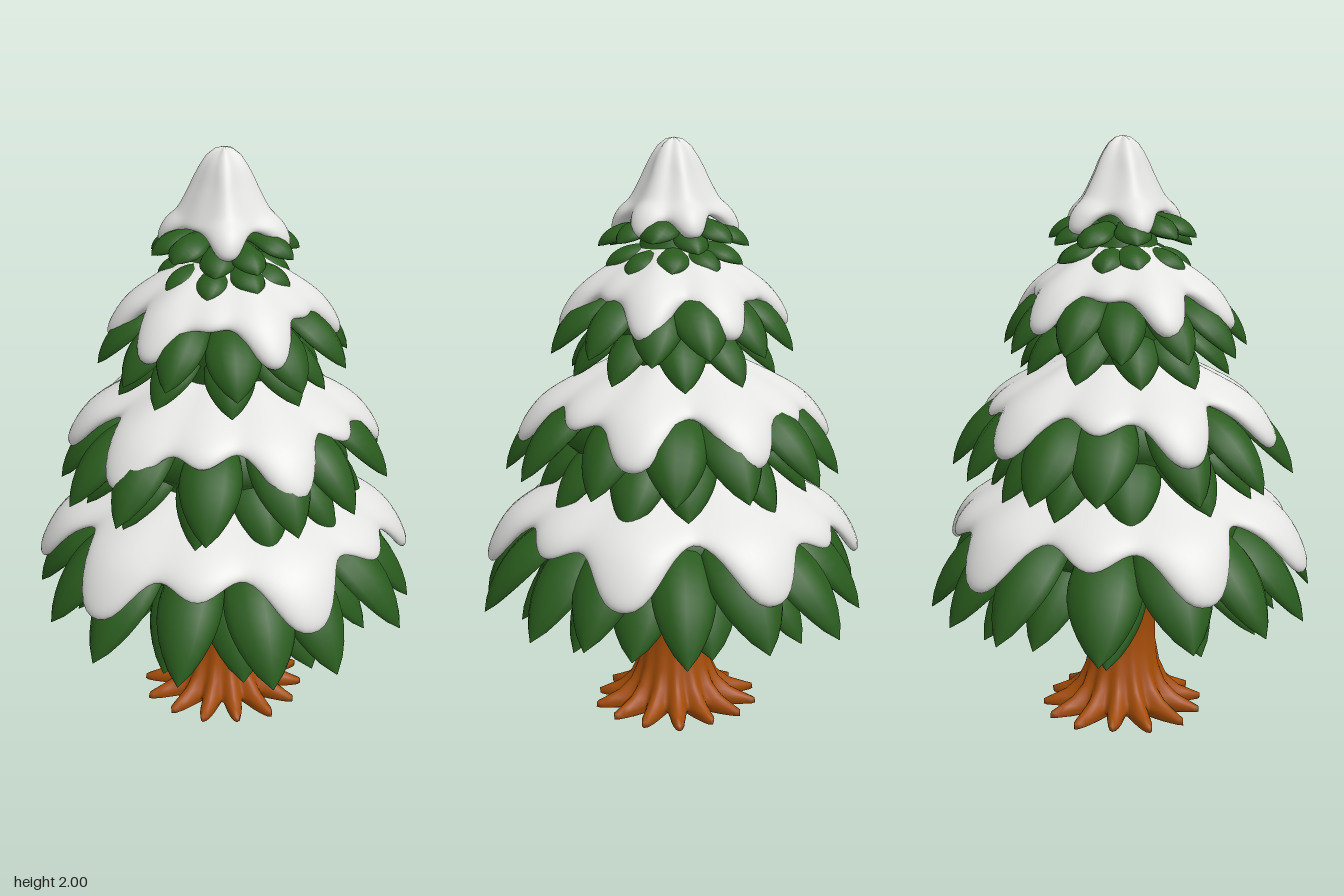
import * as THREE from 'three';
import { mergeGeometries } from 'three/addons/utils/BufferGeometryUtils.js';

const mat = (name, color) => {
  const m = new THREE.MeshStandardMaterial({ color, side: THREE.DoubleSide });
  m.name = name;
  return m;
};
const wobble = (n) => { const s = Math.sin(n * 12.9898) * 43758.5453; return (s - Math.floor(s)) * 2 - 1; };
const V2 = (a) => new THREE.Vector2(a[0], a[1]);

// Smooth skin over fn(u, v) -> [x, y, z]; v wraps round
function skin(nu, nv, fn) {
  const pos = [], idx = [];
  for (let i = 0; i <= nu; i++) for (let j = 0; j < nv; j++) pos.push(...fn(i / nu, j / nv));
  for (let i = 0; i < nu; i++) for (let j = 0; j < nv; j++) {
    const k = (j + 1) % nv, a = i * nv + j, b = i * nv + k, c = a + nv, d = b + nv;
    idx.push(a, b, c, b, d, c);
  }
  const g = new THREE.BufferGeometry();
  g.setAttribute('position', new THREE.Float32BufferAttribute(pos, 3));
  g.setIndex(idx);
  g.computeVertexNormals();
  return g;
}

// Plump pointed leaf that follows a drooping curve given as (radius, height)
function leaf(path, width, thick) {
  const curve = new THREE.QuadraticBezierCurve(...path.map(V2));
  return skin(12, 12, (u, v) => {
    const t = u * 0.999, p = curve.getPoint(t), d = curve.getTangent(t), a = v * Math.PI * 2;
    const w = Math.pow(Math.sin(Math.PI * (0.2 + 0.8 * Math.pow(t, 1.35))), 0.75);
    const side = -Math.cos(a) * w * width / 2;
    const up = Math.sin(a) * w * thick / 2 - 0.16 * width * w * Math.cos(a) ** 2;
    return [p.x - d.y * up, p.y + d.x * up, side];
  });
}

// Ring of slightly uneven leaves whose tips reach radius r at height y
function leafRing(r, y, size, lift, count, start, seed) {
  const width = 0.05 + 0.55 * size, rise = size * lift, parts = [];
  for (let i = 0; i < count; i++) {
    const R = r * (1 + 0.03 * wobble(seed + i * 3.1)), Y = y + 0.02 * wobble(seed + i * 7.7);
    const path = [[r - 1.05 * size, Y + 0.97 * rise], [R - 0.36 * size, Y + 0.82 * rise], [R, Y]];
    const g = leaf(path, width * (1 + 0.1 * wobble(seed + i)), width * 0.34);
    g.rotateY(-(start + (i + 0.16 * wobble(seed + i * 5.3)) * 360 / count) * Math.PI / 180);
    parts.push(g);
  }
  return mergeGeometries(parts);
}

// Snow blanket: a sloping profile whose reach varies with the drips around it
function snowCap(profile, drips, minor, spread, low) {
  const curve = new THREE.SplineCurve(profile.map(V2));
  const thick = 0.041;
  // small drips hang in the wider gaps
  const lobes = [...drips.map((a) => [a, 1]), ...[76, 147, 260, 328].map((a) => [a, minor])];
  return skin(30, 160, (u, v) => {
    let gap = 1;
    for (const [a, s] of lobes) {
      const d = ((v * 360 - a + 540) % 360) - 180;
      gap *= 1 - s * Math.exp(-((d / spread) ** 2));
    }
    const f = 1 - gap, reach = low + (1 - low) * f;
    // top face, rounded rim, then a short underside
    const over = u < 0.75;
    const t = over ? Math.sin((u / 0.75) * Math.PI / 2) : 1 - (1 - Math.cos(((u - 0.75) / 0.25) * Math.PI / 2)) * 0.3;
    const puff = Math.sqrt(Math.max(0, 1 - t ** 7)), blend = Math.min(1, t * 3);
    const off = thick * (over ? puff * (1 - blend * 0.4 * (1 - f)) : -puff * 0.6);
    const p = curve.getPoint(t * reach), d = curve.getTangent(t * reach);
    const r = Math.max(0, p.x - d.y * off * blend), y = p.y + (1 + (d.x - 1) * blend) * off;
    const a = v * Math.PI * 2;
    return [r * Math.cos(a), y, r * Math.sin(a)];
  });
}

// Leaf tips at radius r and height y; the inner ring reaches inner * r and hangs lower by drop
const DRIPS = [0, 44, 112, 179, 226, 297];
const TIERS = [
  { name: 'bottom', r: 0.67, y: 0.4, size: 0.33, lift: 1, inner: 0.8, drop: 0.05, counts: [14, 12],
    drips: DRIPS, minor: 0.55, spread: 15, low: 0.48, snow: [[0.15, 0.91], [0.35, 0.82], [0.54, 0.715], [0.645, 0.56]] },
  { name: 'lowerMiddle', r: 0.58, y: 0.88, size: 0.28, lift: 0.95, inner: 0.82, drop: 0.09, counts: [13, 11],
    drips: DRIPS, minor: 0.5, spread: 15, low: 0.48, snow: [[0.12, 1.26], [0.26, 1.2], [0.43, 1.105], [0.53, 0.98]] },
  { name: 'upperMiddle', r: 0.42, y: 1.3, size: 0.22, lift: 0.9, inner: 0.86, drop: 0.09, counts: [12, 10],
    drips: DRIPS, minor: 0.3, spread: 16, low: 0.5, snow: [[0.1, 1.61], [0.19, 1.555], [0.3, 1.475], [0.38, 1.37]] },
  { name: 'top', r: 0.25, y: 1.65, size: 0.14, lift: 0.5, inner: 0.92, drop: 0.075, counts: [11, 9],
    drips: [12, 62, 135, 233, 300], minor: 0, spread: 20, low: 0.7,
    snow: [[0, 1.96], [0.035, 1.945], [0.075, 1.86], [0.12, 1.78], [0.17, 1.735], [0.205, 1.68]] },
];

// Trunk and foliage core outlines, top to bottom, as radius and height
const TRUNK = [[0.17, 0.56], [0.16, 0.5], [0.13, 0.42], [0.115, 0.33], [0.117, 0.24], [0.132, 0.16], [0.16, 0.1],
  [0.205, 0.06], [0.25, 0.04], [0.285, 0.025], [0.285, 0.006], [0.24, 0], [0.12, 0.008], [0, 0.02]];
const CORE = [[0.02, 1.86], [0.11, 1.68], [0.14, 1.55], [0.24, 1.46], [0.26, 1.38], [0.2, 1.26], [0.22, 1.18],
  [0.36, 1.07], [0.38, 0.98], [0.27, 0.88], [0.42, 0.72], [0.43, 0.62], [0.3, 0.54], [0.1, 0.52]];

export function createModel() {
  const tree = new THREE.Group();
  tree.name = 'snowyTree';
  const bark = mat('bark', 0xa34c08), green = mat('needles', 0x295b1d), white = mat('snow', 0xe4e4e2);
  const add = (geo, material, name, parent = tree) => {
    const m = new THREE.Mesh(geo, material);
    m.name = name;
    parent.add(m);
  };

  // Trunk flaring into fourteen finger-like roots that deepen toward the ground
  add(skin(TRUNK.length - 1, 168, (u, v) => {
    const [r, y] = TRUNK[Math.round(u * (TRUNK.length - 1))];
    const a = v * Math.PI * 2, n = Math.floor(v * 14 + 0.5) % 14;
    const depth = 0.55 * Math.exp(-y / 0.08) * Math.min(1, r / 0.27), ridge = Math.cos(a * 7) ** 2;
    const R = r * (1 - depth * (1 - ridge)) * (1 + depth * 0.12 * ridge * wobble(n + 2));
    return [R * Math.cos(a), y, R * Math.sin(a)];
  }), bark, 'trunk');

  // Green core that fills the space behind the leaves
  add(skin(CORE.length - 1, 48, (u, v) => {
    const [r, y] = CORE[Math.round(u * (CORE.length - 1))], a = v * Math.PI * 2;
    return [r * Math.cos(a), y, r * Math.sin(a)];
  }), green, 'innerFoliage');

  // Four tiers of leaves, each under its snow
  TIERS.forEach(({ name, r, y, size, lift, inner, drop, counts, drips, minor, spread, low, snow }, i) => {
    const g = new THREE.Group();
    g.name = name + 'Tier';
    add(leafRing(r, y, size, lift, counts[0], i * 5, i * 20 + 1), green, 'outerLeaves', g);
    add(leafRing(r * inner, y - drop, size * 0.95, lift, counts[1], 12 + i * 7, i * 20 + 10), green, 'innerLeaves', g);
    add(snowCap(snow, drips, minor, spread, low), white, 'snowCap', g);
    tree.add(g);
  });
  return tree;
}
